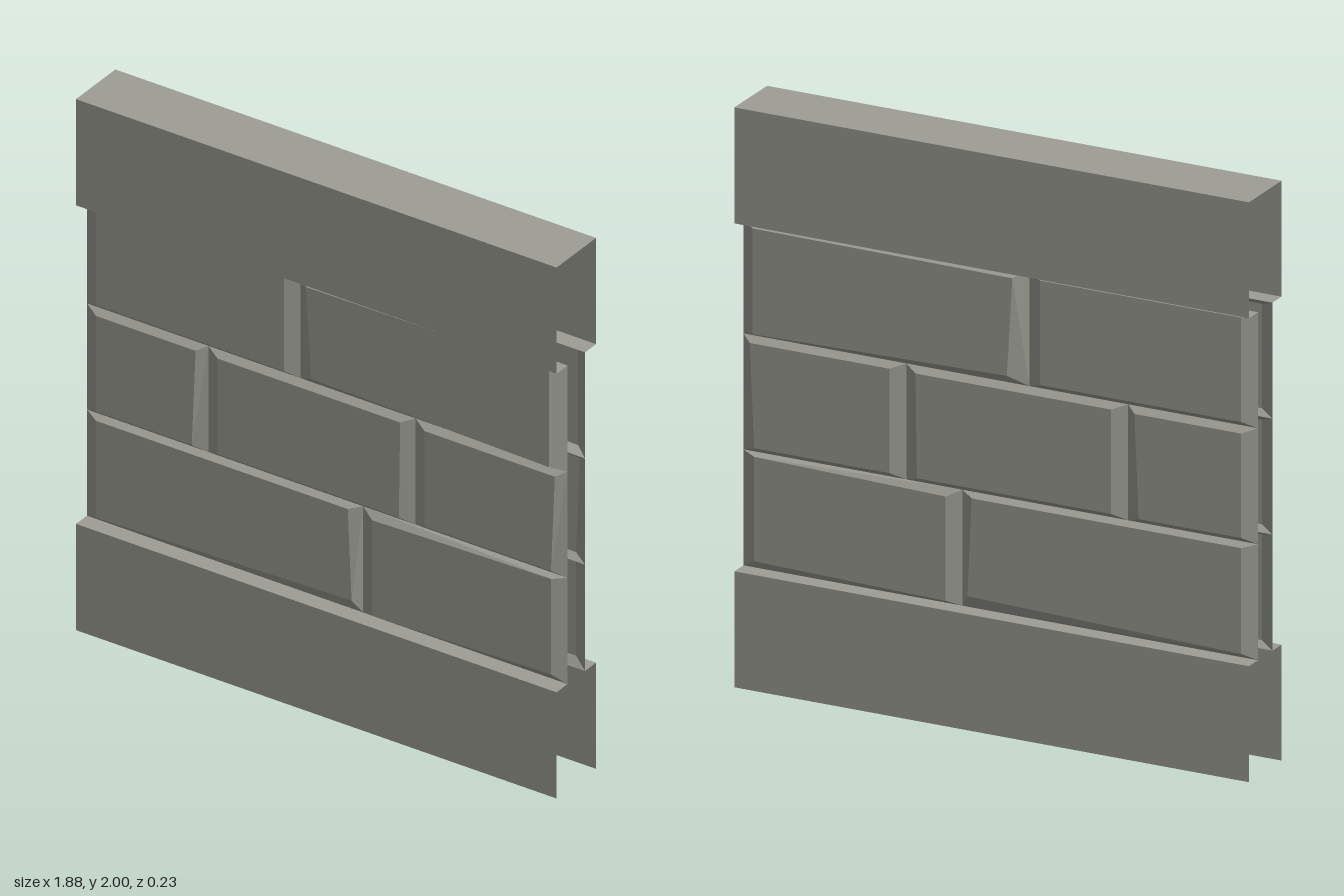
import * as THREE from 'three';

const W = 0.94;      // half width of the wall
const BAND = 0.113;  // half thickness of the plain bands
const CORE = 0.05;   // half thickness at the brick joints

const material = new THREE.MeshStandardMaterial({
  color: 0x9e9e96, flatShading: true, side: THREE.DoubleSide,
});

// Mesh from four-cornered faces, corners counter-clockwise from outside,
// each split along its second and fourth corners
function quadMesh(name, quads) {
  const pos = [];
  for (const [a, b, c, d] of quads) pos.push(...a, ...b, ...d, ...b, ...c, ...d);
  const geo = new THREE.BufferGeometry();
  geo.setAttribute('position', new THREE.Float32BufferAttribute(pos, 3));
  geo.computeVertexNormals();
  const mesh = new THREE.Mesh(geo, material);
  mesh.name = name;
  return mesh;
}

// Open strip: a [z, y] profile swept across the full width
function band(name, profile) {
  const quads = [];
  for (let i = 0; i < profile.length - 1; i++) {
    const [z0, y0] = profile[i], [z1, y1] = profile[i + 1];
    quads.push([[-W, y0, z0], [W, y0, z0], [W, y1, z1], [-W, y1, z1]]);
  }
  return quadMesh(name, quads);
}

// Bevelled brick: outer rectangle at the joints, uneven raised face inside
function brick(name, { x, y, depth, face }, side) {
  const [x0, x1] = x;
  const outer = [[x0, y], [x1, y], [x1, y + 0.4], [x0, y + 0.4]]
    .map(([px, py]) => [px, py, CORE * side]);
  const inner = face.map(([px, py]) => [px, py, depth * side]);
  const quads = [inner];
  for (let i = 0; i < 4; i++) {
    const j = (i + 1) % 4;
    quads.push([outer[i], outer[j], inner[j], inner[i]]);
  }
  // Turning a quad over keeps the same diagonal
  return quadMesh(name, side > 0 ? quads : quads.map(([a, b, c, d]) => [a, d, c, b]));
}

// Face corners: bottom left, bottom right, top right, top left
const bricks = [
  // lower course
  { x: [-W, 0.14], y: 0.4, depth: 0.072,
    face: [[-0.89, 0.42], [0.11, 0.445], [0.095, 0.785], [-0.89, 0.785]] },
  { x: [0.14, W], y: 0.4, depth: 0.072,
    face: [[0.19, 0.415], [0.89, 0.43], [0.89, 0.79], [0.19, 0.775]] },
  // middle course
  { x: [-W, -0.465], y: 0.8, depth: 0.072,
    face: [[-0.89, 0.82], [-0.515, 0.82], [-0.5, 1.18], [-0.89, 1.18]] },
  { x: [-0.465, 0.345], y: 0.8, depth: 0.072,
    face: [[-0.415, 0.82], [0.295, 0.82], [0.3, 1.18], [-0.415, 1.18]] },
  { x: [0.345, W], y: 0.8, depth: 0.072,
    face: [[0.395, 0.82], [0.89, 0.82], [0.905, 1.18], [0.395, 1.18]] },
  // upper course
  { x: [-W, -0.105], y: 1.2, depth: 0.072,
    face: [[-0.89, 1.22], [-0.155, 1.22], [-0.155, 1.58], [-0.89, 1.58]] },
  { x: [-0.105, W], y: 1.2, depth: 0.084,
    face: [[-0.04, 1.235], [0.89, 1.217], [0.89, 1.582], [-0.06, 1.575]] },
];

export function createModel() {
  const wall = new THREE.Group();
  wall.name = 'brickWall';

  // Plain capping with its underside ledges, open at the ends
  wall.add(band('topBand', [
    [CORE, 1.6], [BAND, 1.6], [BAND, 2], [-BAND, 2], [-BAND, 1.6], [-CORE, 1.6],
  ]));

  // Plain plinth, open underneath and at the ends
  wall.add(band('frontPlinth', [[BAND, 0], [BAND, 0.4], [CORE, 0.4]]));
  wall.add(band('backPlinth', [[-CORE, 0.4], [-BAND, 0.4], [-BAND, 0]]));

  // The same brick pattern on both faces
  for (const [name, side] of [['front', 1], ['back', -1]]) {
    const group = new THREE.Group();
    group.name = `${name}Bricks`;
    bricks.forEach((b, i) => group.add(brick(`${name}Brick${i + 1}`, b, side)));
    wall.add(group);
  }
  return wall;
}
